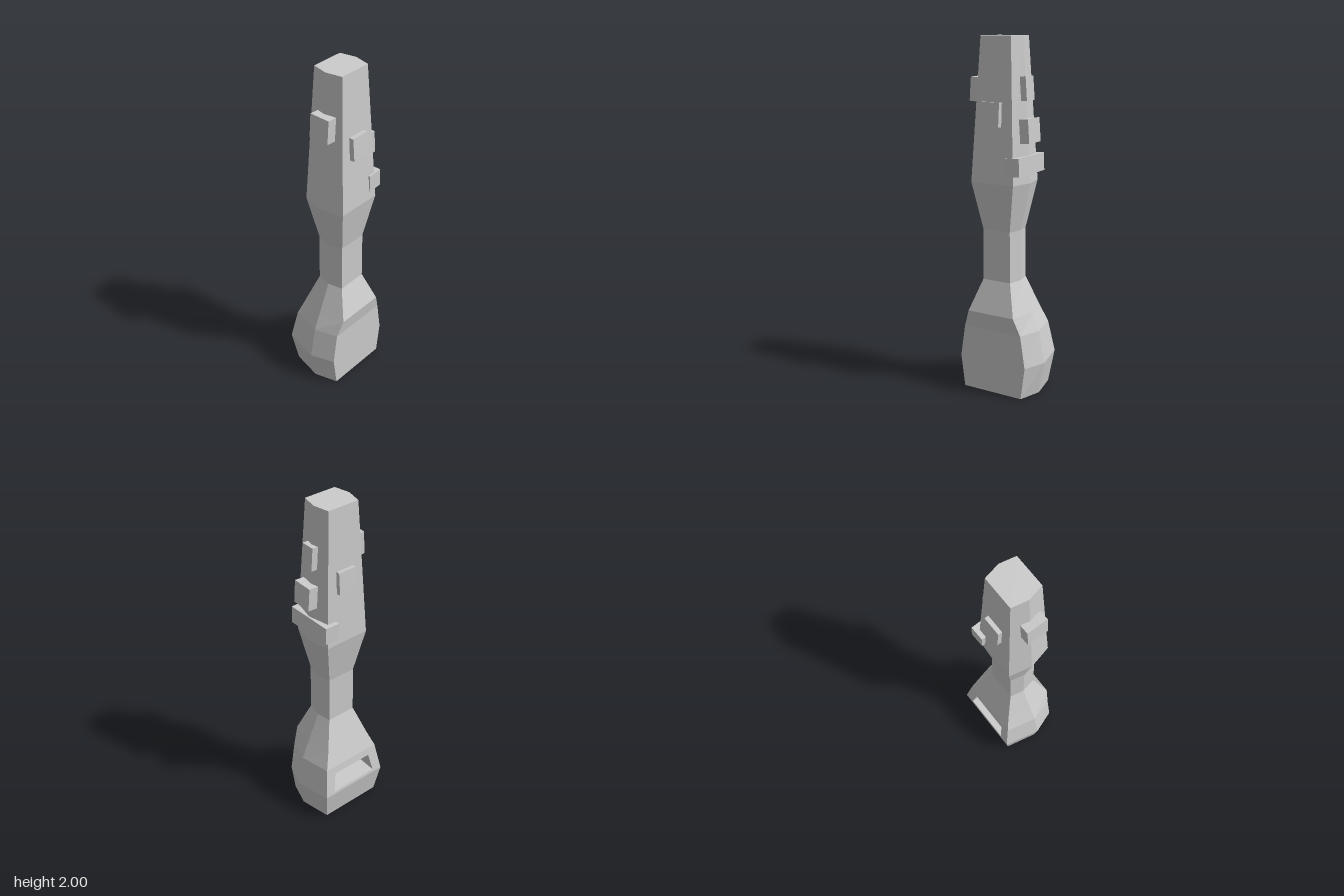
import * as THREE from 'three';

const material = new THREE.MeshStandardMaterial({ color: 0xcccccc, flatShading: true });

// Six-sided ring: flat front and back, pointed sides
const MID_Z = 0.028;
function ring([y, inner, outer, front, back]) {
  return [
    [inner, y, front], [outer, y, MID_Z], [inner, y, back],
    [-inner, y, back], [-outer, y, MID_Z], [-inner, y, front],
  ];
}

function buildBody() {
  // y, half width of the flats, half width at the side ridge, front z, back z
  const rings = [
    [0, 0.188, 0.228, 0.165, -0.152],
    [0.185, 0.213, 0.262, 0.165, -0.183],
    [0.37, 0.184, 0.225, 0.165, -0.152],
    [0.47, 0.147, 0.182, 0.182, -0.118],
    [0.65, 0.088, 0.106, 0.116, -0.056],
    [0.94, 0.086, 0.106, 0.116, -0.056],
    [1.21, 0.134, 0.165, 0.162, -0.104],
    [2, 0.095, 0.115, 0.12, -0.066],
  ].map(ring);

  const positions = [];
  const face = (...p) => {
    for (let i = 1; i < p.length - 1; i++) positions.push(...p[0], ...p[i], ...p[i + 1]);
  };

  const SLOT_RING = 1, BACK_SIDE = 2;
  for (let i = 0; i < rings.length - 1; i++) {
    for (let j = 0; j < 6; j++) {
      const k = (j + 1) % 6;
      const quad = [rings[i][j], rings[i][k], rings[i + 1][k], rings[i + 1][j]];
      if (i !== SLOT_RING || j !== BACK_SIDE) {
        face(...quad);
        continue;
      }
      // Back facet with a recessed tapering slot
      const onFacet = (x, t) => [x,
        THREE.MathUtils.lerp(quad[0][1], quad[3][1], t),
        THREE.MathUtils.lerp(quad[0][2], quad[3][2], t)];
      const mouth = [onFacet(0.15, 0.1), onFacet(-0.15, 0.1), onFacet(-0.128, 0.74), onFacet(0.128, 0.74)];
      const floor = mouth.map(([x, y]) => [x, y, 0.01]);
      for (let a = 0; a < 4; a++) {
        const b = (a + 1) % 4;
        face(quad[a], quad[b], mouth[b], mouth[a]);
        face(mouth[a], mouth[b], floor[b], floor[a]);
      }
      face(...floor);
    }
  }
  face(...[...rings[0]].reverse());
  face(...rings[rings.length - 1]);

  const geometry = new THREE.BufferGeometry();
  geometry.setAttribute('position', new THREE.Float32BufferAttribute(positions, 3));
  geometry.computeVertexNormals();
  return geometry;
}

export function createModel() {
  const model = new THREE.Group();
  model.name = 'taperedHandle';

  const add = (name, geometry, position = [0, 0, 0], rotation = [0, 0, 0]) => {
    const mesh = new THREE.Mesh(geometry, material);
    mesh.name = name;
    mesh.position.set(...position);
    mesh.rotation.set(...rotation);
    model.add(mesh);
  };

  add('body', buildBody());

  // Raised blocks leaning with the taper of the upper body
  const LEAN = 0.07;
  const blocks = [
    ['frontBlock', [0.112, 0.13, 0.03], [-0.006, 1.587, 0.156], [-LEAN, 0, 0]],
    ['backBlock', [0.112, 0.13, 0.03], [0.004, 1.587, -0.096], [LEAN, 0, 0]],
    ['rightBlock', [0.056, 0.132, 0.123], [-0.15, 1.712, 0.038], [0, 0, -LEAN]],
    ['upperLeftBlock', [0.036, 0.13, 0.082], [0.142, 1.724, 0.029], [0, 0, LEAN]],
    ['lowerLeftBlock', [0.056, 0.13, 0.123], [0.165, 1.5, 0.038], [0, 0, LEAN]],
    ['sideBar', [0.088, 0.1, 0.287], [0.123, 1.31, 0.02], [0, 0.03, 0.04]],
  ];
  for (const [name, size, position, rotation] of blocks) {
    add(name, new THREE.BoxGeometry(...size), position, rotation);
  }
  return model;
}
